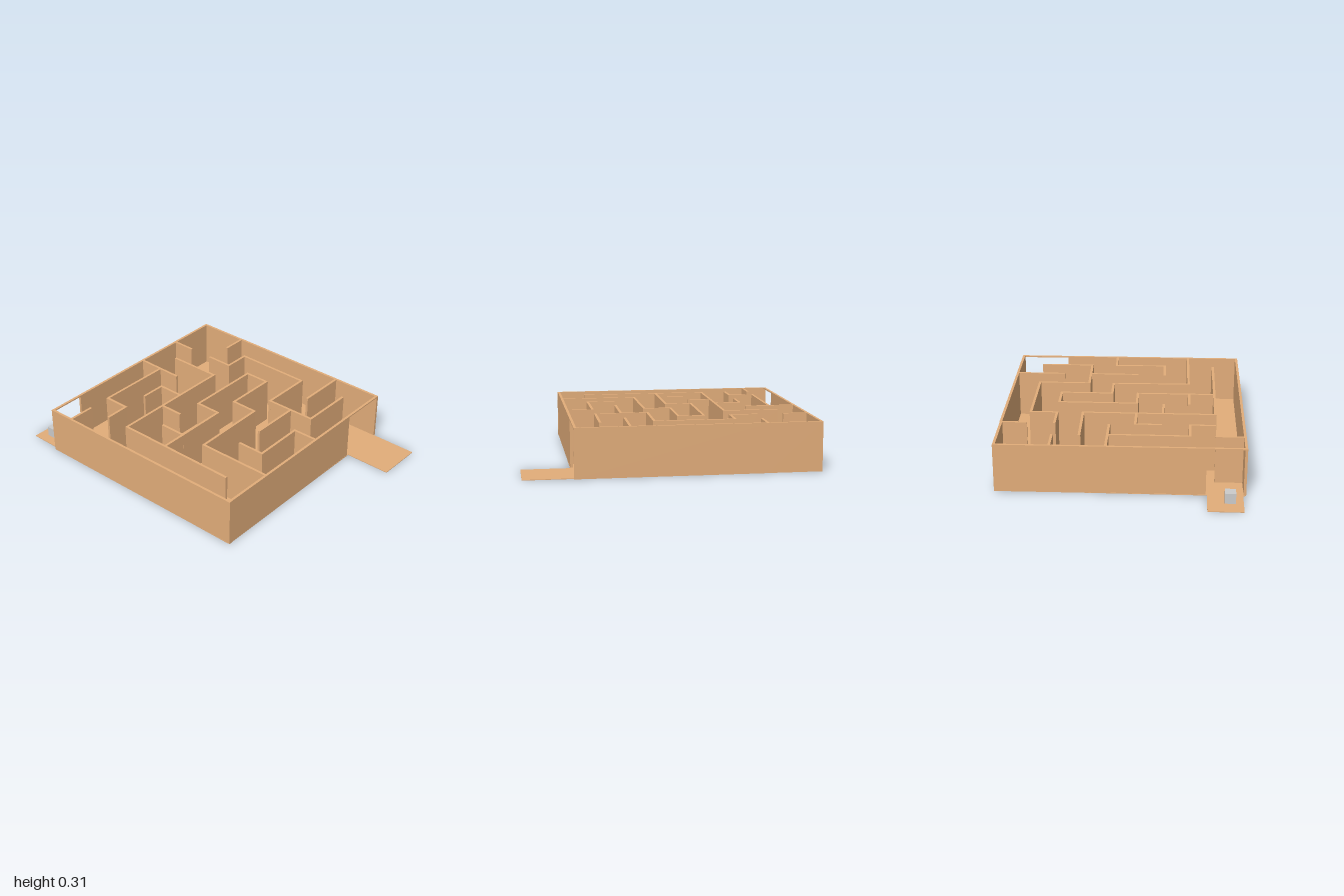
import * as THREE from 'three';

export function createModel() {
  const model = new THREE.Group();
  const card = new THREE.MeshStandardMaterial({ color: 0xe2ad7a });
  const grey = new THREE.MeshStandardMaterial({ color: 0xcccccc });
  const H = 0.305, T = 0.016, SHEET = 0.004;

  const box = (name, x0, x1, y0, y1, z0, z1, material = card, parent = model) => {
    const mesh = new THREE.Mesh(new THREE.BoxGeometry(x1 - x0, y1 - y0, z1 - z0), material);
    mesh.position.set((x0 + x1) / 2, (y0 + y1) / 2, (z0 + z1) / 2);
    mesh.name = name;
    parent.add(mesh);
    return mesh;
  };

  // Upright panel between two plan points [x, z]
  const panel = (name, [ax, az], [bx, bz], parent, y0 = 0, y1 = H) => {
    const len = Math.hypot(bx - ax, bz - az) + T;
    const mesh = new THREE.Mesh(new THREE.BoxGeometry(len, y1 - y0, T), card);
    mesh.position.set((ax + bx) / 2, (y0 + y1) / 2, (az + bz) / 2);
    mesh.rotation.y = -Math.atan2(bz - az, bx - ax);
    mesh.name = name;
    parent.add(mesh);
  };

  // Floor sheet
  box('floor', -0.795, 0.7, 0, SHEET, -0.75, 0.745);

  // Outer walls, with a doorway and thin lintel on each side
  const outer = new THREE.Group();
  outer.name = 'outerWalls';
  model.add(outer);
  panel('frontWall', [-0.78, 0.745], [0.7, 0.735], outer);
  panel('backWallShort', [-0.79, -0.742], [-0.47, -0.744], outer);
  panel('backWallLong', [-0.46, -0.746], [0.688, -0.75], outer);
  panel('leftWall', [0.69, -0.43], [0.698, 0.735], outer);
  panel('leftLintel', [0.688, -0.74], [0.69, -0.43], outer, H - 0.008, H);
  panel('rightWall', [-0.79, -0.742], [-0.782, 0.505], outer);
  panel('rightLintel', [-0.782, 0.505], [-0.78, 0.745], outer, H - 0.008, H);

  // Inner maze walls, each a run of plan points
  const inner = new THREE.Group();
  inner.name = 'mazeWalls';
  model.add(inner);
  const runs = [
    [[-0.46, -0.74], [-0.46, -0.593]],
    [[-0.78, -0.415], [-0.64, -0.415]],
    [[-0.462, -0.416], [-0.295, -0.416], [-0.295, -0.58], [0.2, -0.58], [0.2, -0.252], [0.527, -0.256], [0.527, -0.59]],
    [[0.363, -0.74], [0.363, -0.437]],
    [[0.367, -0.25], [0.367, 0.06]],
    [[-0.13, 0.077], [-0.13, -0.418], [0.03, -0.418], [0.03, -0.09], [0.2, -0.09], [0.208, 0.405], [0.69, 0.4]],
    [[-0.13, 0.077], [0.035, 0.077], [0.037, 0.565]],
    [[-0.128, 0.408], [0.037, 0.408]],
    [[-0.628, -0.25], [-0.29, -0.254], [-0.288, 0.572], [0.525, 0.57]],
    [[-0.28, 0.247], [-0.142, 0.247]],
    [[-0.29, 0.08], [-0.457, 0.08], [-0.457, 0.235]],
    [[-0.78, -0.082], [-0.473, -0.08]],
    [[-0.618, -0.08], [-0.618, 0.415], [-0.457, 0.415], [-0.455, 0.565]],
    [[-0.618, 0.575], [-0.618, 0.74]],
    [[0.69, -0.09], [0.53, -0.087], [0.535, 0.242], [0.365, 0.244]],
  ];
  runs.forEach((run) => {
    for (let i = 1; i < run.length; i++) panel('mazeWall', run[i - 1], run[i], inner);
  });

  // Flaps lying outside the doorways
  box('exitFlap', 0.69, 1.0, 0, SHEET, -0.745, -0.45);
  box('entryFlap', -1.0, -0.785, 0, SHEET, 0.52, 0.735);

  // Small cube waiting on the entry flap
  box('cube', -0.925, -0.86, 0.017, 0.082, 0.622, 0.687, grey);

  return model;
}
